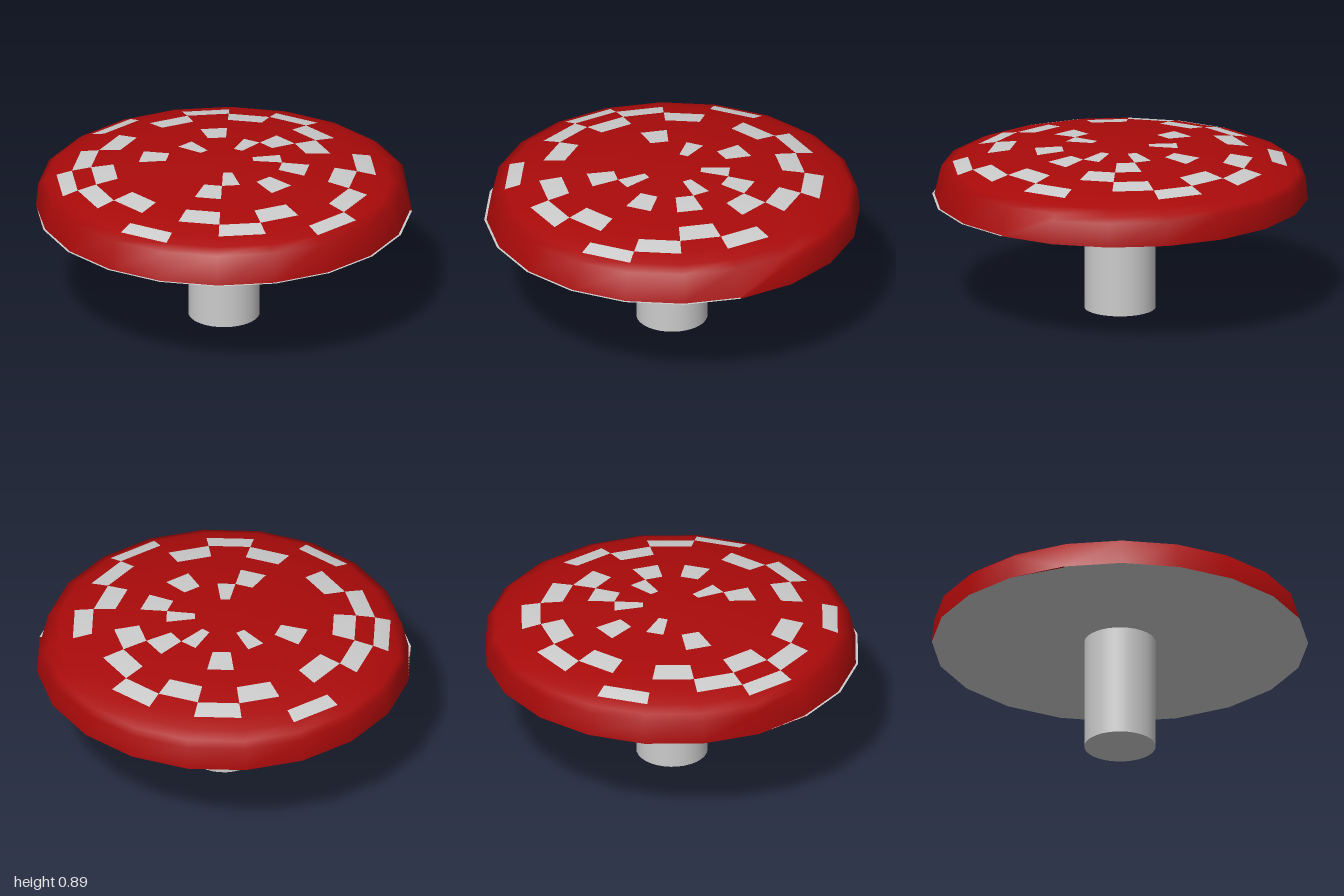
import * as THREE from 'three';

const SIDES = 20, RINGS = 10, BASE = 0.61;

// White squares of the cap: for each ring from the top, the sectors that are spotted
const SPOTS = {
  1: [3, 11, 15, 18],
  2: [1, 4, 9, 13, 16, 19],
  3: [17],
  4: [2, 4, 6, 8, 10, 12, 14, 16, 19],
  5: [0, 3, 7, 9, 13, 15, 18],
  6: [1, 5, 8, 11],
};

// The second lowest ring is pressed down to the rim along half of the cap
const pressed = (k) => k <= 8 || k === 19;

function capHeight(ring, k) {
  if (ring === RINGS || (ring === RINGS - 1 && pressed(k))) return BASE;
  return 0.708 + 0.182 * Math.cos((ring / RINGS) * Math.PI / 2);
}

function createCap() {
  // Apex first, then one ring of points after another
  const points = [0, capHeight(0, 0), 0];
  for (let ring = 1; ring <= RINGS; ring++) {
    const r = Math.sin((ring / RINGS) * Math.PI / 2);
    for (let k = 0; k < SIDES; k++) {
      const a = (k / SIDES) * Math.PI * 2;
      points.push(r * Math.cos(a), capHeight(ring, k), r * Math.sin(a));
    }
  }
  const id = (ring, k) => (ring === 0 ? 0 : 1 + (ring - 1) * SIDES + (k % SIDES));

  const red = [], white = [];
  for (let ring = 0; ring < RINGS; ring++) {
    for (let k = 0; k < SIDES; k++) {
      const next = (k + 1) % SIDES;
      // Fully flattened cells are covered by the underside
      if (ring === RINGS - 1 && pressed(k) && pressed(next)) continue;
      const target = SPOTS[ring]?.includes(k) ? white : red;
      const a = id(ring, k), b = id(ring + 1, k), c = id(ring + 1, next), d = id(ring, next);
      target.push(a, c, b);
      if (ring > 0) target.push(a, d, c);
    }
  }

  // Both colours share the same smooth normals
  const whole = new THREE.BufferGeometry();
  whole.setAttribute('position', new THREE.Float32BufferAttribute(points, 3));
  whole.setIndex([...red, ...white]);
  whole.computeVertexNormals();

  const cap = new THREE.Group();
  cap.name = 'cap';
  for (const [name, index, color] of [['capSkin', red, 0xaa0a0a], ['capSpots', white, 0xcccccc]]) {
    const geometry = new THREE.BufferGeometry();
    geometry.setAttribute('position', whole.getAttribute('position'));
    geometry.setAttribute('normal', whole.getAttribute('normal'));
    geometry.setIndex(index);
    const mesh = new THREE.Mesh(geometry, new THREE.MeshStandardMaterial({ color, side: THREE.DoubleSide }));
    mesh.name = name;
    cap.add(mesh);
  }
  return cap;
}

export function createModel() {
  const model = new THREE.Group();
  model.name = 'mushroom';
  model.add(createCap());

  // Flat underside closing the cap
  const underside = new THREE.Mesh(
    new THREE.CircleGeometry(1, SIDES).rotateX(Math.PI / 2),
    new THREE.MeshStandardMaterial({ color: 0xcccccc, side: THREE.DoubleSide })
  );
  underside.name = 'capUnderside';
  underside.position.y = BASE;
  model.add(underside);

  // Straight round stem
  const stem = new THREE.Mesh(
    new THREE.CylinderGeometry(0.19, 0.19, BASE, 32),
    new THREE.MeshStandardMaterial({ color: 0xcccccc })
  );
  stem.name = 'stem';
  stem.position.y = BASE / 2;
  model.add(stem);

  return model;
}
